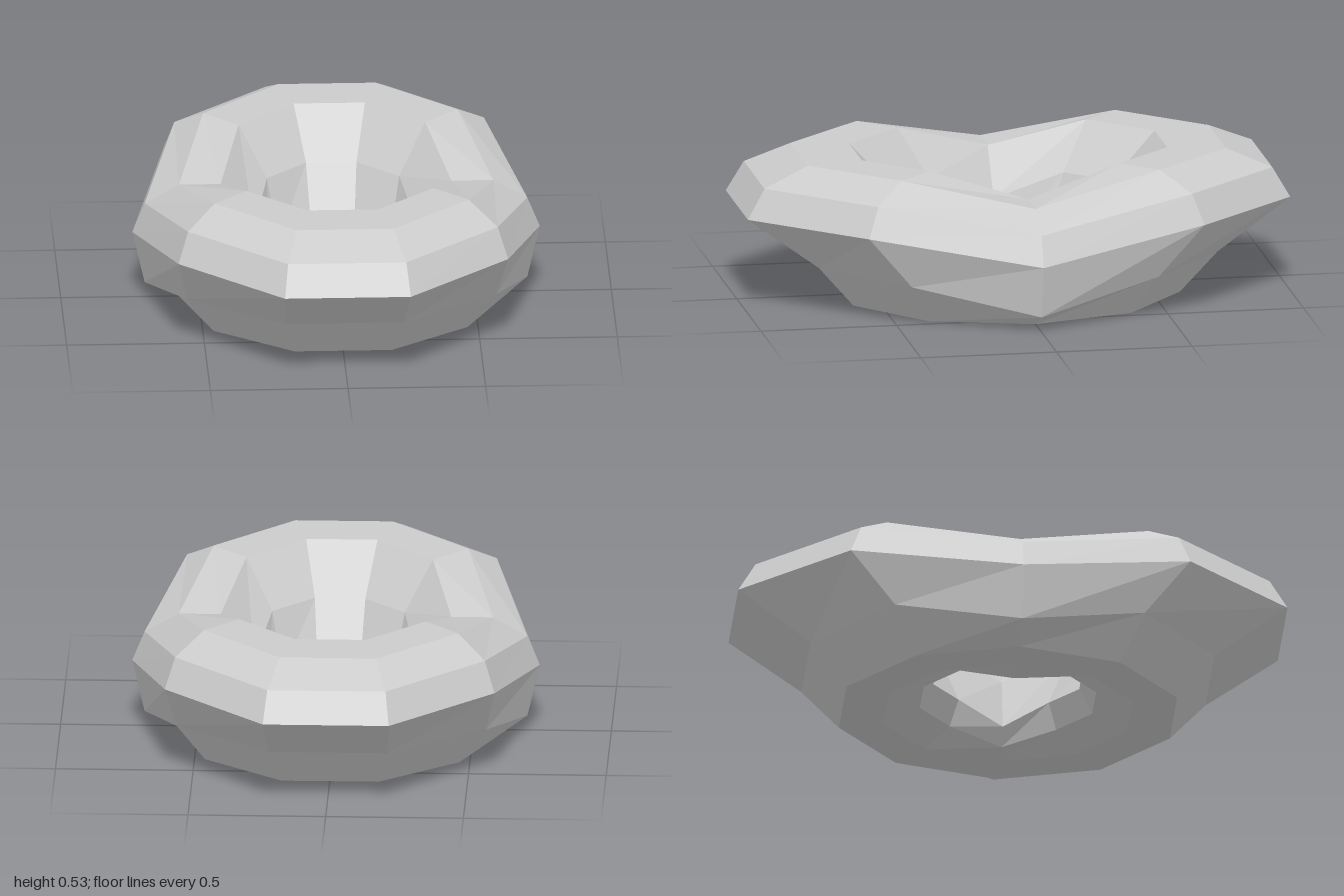
import * as THREE from 'three';

// Cross-section of the ring, from the outer edge over the top and back underneath:
// [x radius, z radius, height, sag at the two flanks]
const PROFILE = [
  [0.74, 1.051, 0.35, 0.1],
  [0.695, 0.984, 0.46, 0.1],
  [0.571, 0.81, 0.53, 0.1],
  [0.419, 0.592, 0.53, 0.1],
  [0.297, 0.42, 0.36, 0.1],
  [0.25, 0.279, 0.14, 0.08],
  [0.297, 0.33, 0.05, 0.05],
  [0.419, 0.466, 0, 0],
  [0.571, 0.633, 0, 0],
  [0.695, 0.773, 0.155, 0.1],
];
const SIDES = 10;

// Sweeps the profile round an oval, letting it sag at x = +-1
function ringGeometry() {
  const positions = [];
  const index = [];
  const n = PROFILE.length;
  for (let i = 0; i < SIDES; i++) {
    const a = (i / SIDES) * Math.PI * 2;
    const flank = i % (SIDES / 2) === 0 ? 1 : 0;
    PROFILE.forEach(([rx, rz, y, sag], j) => {
      positions.push(rx * Math.cos(a), y - sag * flank, rz * Math.sin(a));
      const i2 = (i + 1) % SIDES;
      const j2 = (j + 1) % n;
      const p = i * n + j, up = i * n + j2, next = i2 * n + j, both = i2 * n + j2;
      index.push(p, up, next, up, both, next);
    });
  }
  const indexed = new THREE.BufferGeometry();
  indexed.setAttribute('position', new THREE.Float32BufferAttribute(positions, 3));
  indexed.setIndex(index);
  const geometry = indexed.toNonIndexed();
  geometry.computeVertexNormals();
  return geometry;
}

export function createModel() {
  const group = new THREE.Group();
  group.name = 'saggingRing';
  const ring = new THREE.Mesh(
    ringGeometry(),
    new THREE.MeshStandardMaterial({ color: 0xcccccc, flatShading: true })
  );
  ring.name = 'ringBody';
  group.add(ring);
  return group;
}
